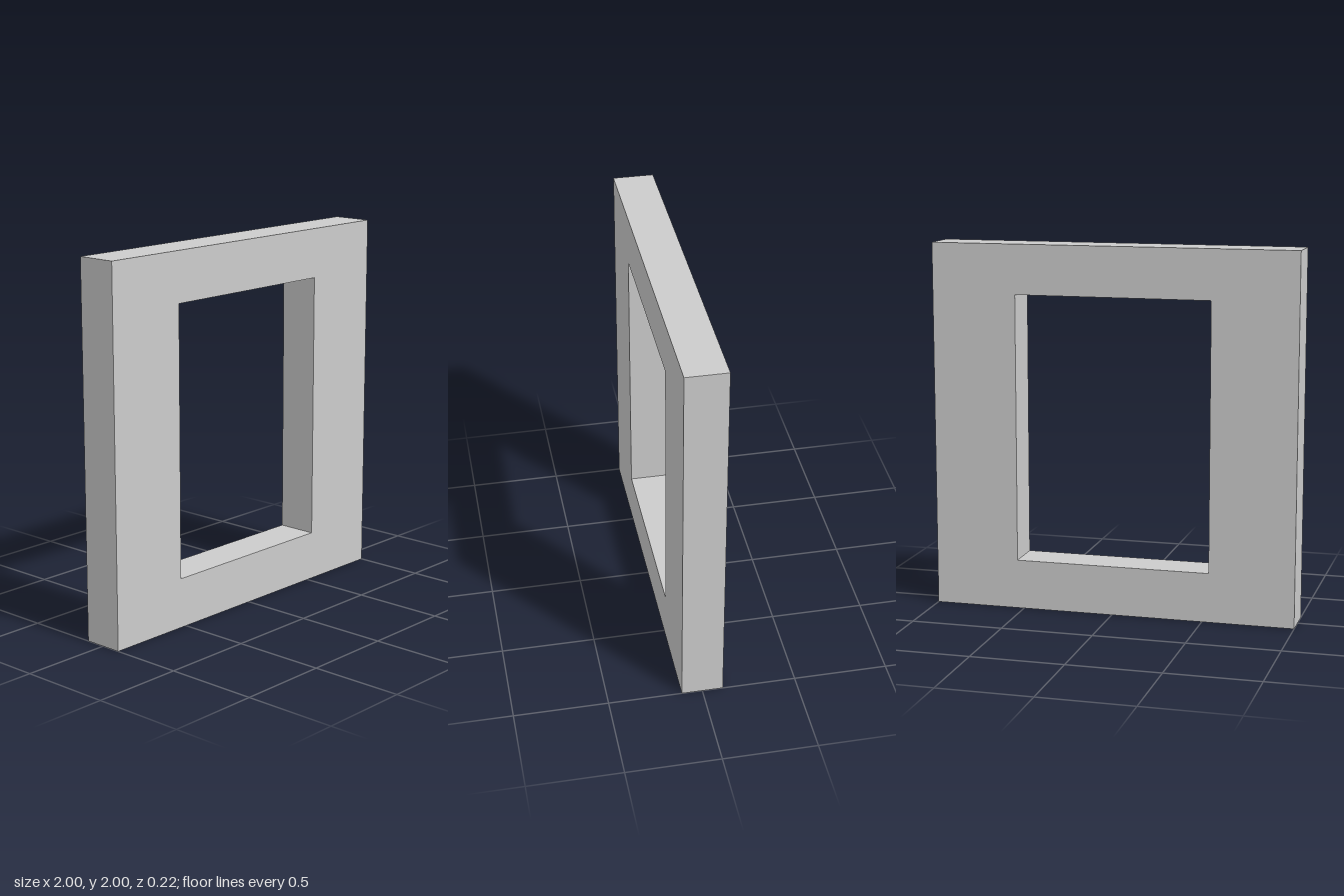
import * as THREE from 'three';

const SIZE = 2;
const DEPTH = 0.22;
const OPENING = { width: 1.07, bottom: 0.27, top: 1.73 };

// Adds a closed rectangle to a shape or path
function rect(path, halfWidth, bottom, top) {
  path.moveTo(-halfWidth, bottom);
  path.lineTo(halfWidth, bottom);
  path.lineTo(halfWidth, top);
  path.lineTo(-halfWidth, top);
  path.closePath();
  return path;
}

export function createModel() {
  const model = new THREE.Group();
  model.name = 'windowFrame';

  // Square slab with a rectangular opening cut through it
  const outline = rect(new THREE.Shape(), SIZE / 2, 0, SIZE);
  outline.holes.push(rect(new THREE.Path(), OPENING.width / 2, OPENING.bottom, OPENING.top));

  const geometry = new THREE.ExtrudeGeometry(outline, { depth: DEPTH, bevelEnabled: false });
  geometry.translate(0, 0, -DEPTH / 2);

  const frame = new THREE.Mesh(
    geometry,
    new THREE.MeshStandardMaterial({ color: 0xcccccc, flatShading: true })
  );
  frame.name = 'frame';
  model.add(frame);

  return model;
}
